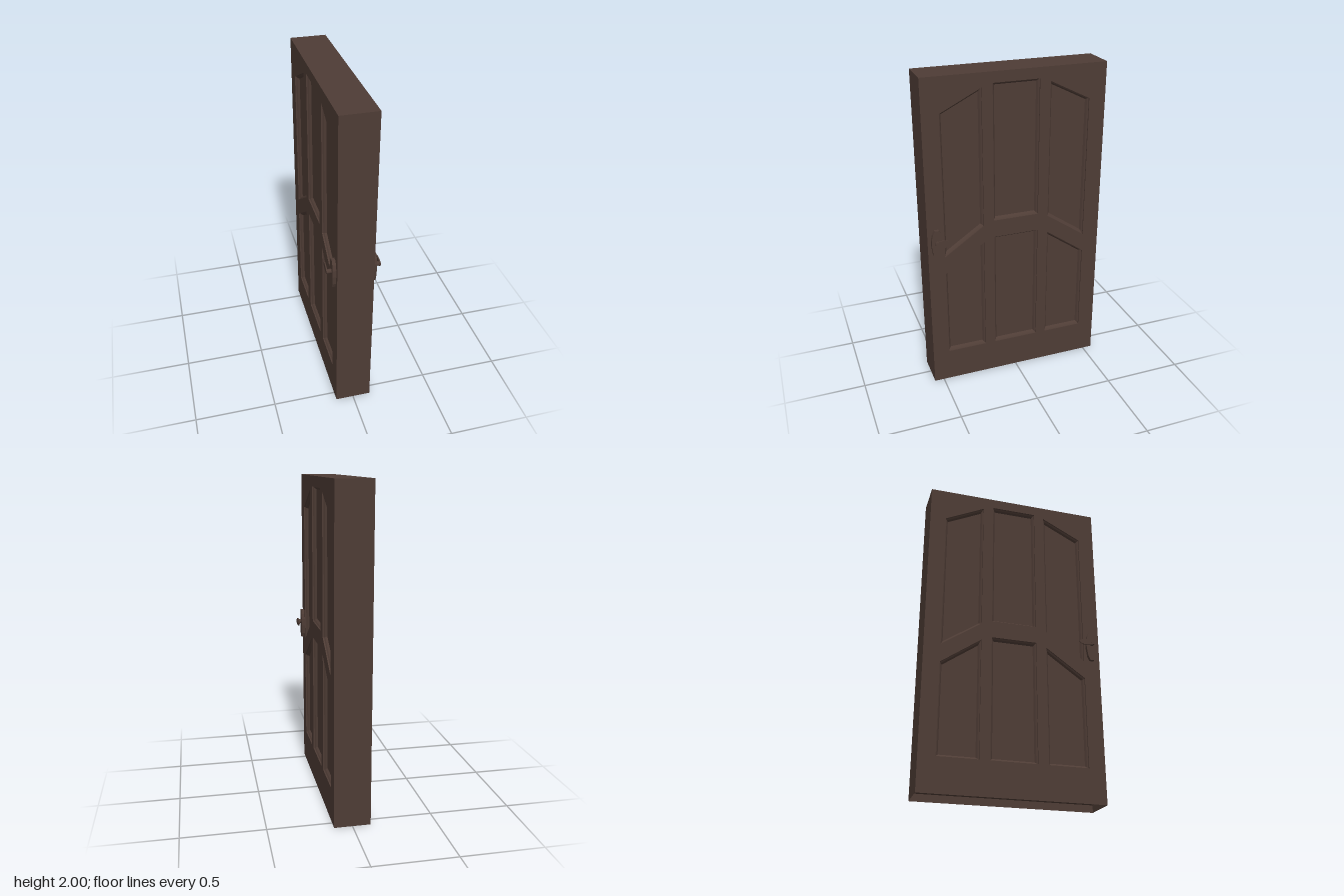
import * as THREE from 'three';

const W = 0.22, D = 1.12, H = 2;           // thickness, width, height
const RECESS = 0.045;                      // hollow under the bottom edge

const wood = new THREE.MeshStandardMaterial({ color: 0x4e3c35, side: THREE.DoubleSide });
wood.name = 'darkBrown';

// Panel outlines on one face, counter-clockwise (across, up)
const sideUpper = [[-0.457, 0.895], [-0.208, 1.065], [-0.208, 1.915], [-0.457, 1.79]];
const sideLower = [[-0.457, 0.21], [-0.208, 0.21], [-0.208, 0.955], [-0.457, 0.78]];
const mirrored = (pts) => pts.map(([u, v]) => [-u, v]).reverse();
const panels = [
  sideUpper, sideLower, mirrored(sideUpper), mirrored(sideLower),
  [[-0.143, 1.09], [0.143, 1.09], [0.143, 1.935], [-0.143, 1.935]],
  [[-0.143, 0.21], [0.143, 0.21], [0.143, 0.98], [-0.143, 0.98]],
];

const vectors = (pts) => pts.map(([u, v]) => new THREE.Vector2(u, v));

function add(parent, name, geometry, x = 0, y = 0, z = 0) {
  const mesh = new THREE.Mesh(geometry, wood);
  mesh.name = name;
  mesh.position.set(x, y, z);
  parent.add(mesh);
  return mesh;
}

// Moves every edge of a convex counter-clockwise outline inwards by d
function inset(pts, d) {
  const n = pts.length;
  return pts.map((p, i) => {
    const a = pts[(i + n - 1) % n], b = pts[(i + 1) % n];
    const e = new THREE.Vector2(p[0] - a[0], p[1] - a[1]).normalize();
    const f = new THREE.Vector2(b[0] - p[0], b[1] - p[1]).normalize();
    const k = d / (e.x * f.y - e.y * f.x);
    return [p[0] + (f.x - e.x) * -k * -1 * 1 * 1, p[1] + (f.y - e.y) * k];
  });
}

// Sloping strips joining successive rings, each { pts, z }
function moulding(rings) {
  const pos = [];
  for (let r = 0; r < rings.length - 1; r++) {
    const o = rings[r], q = rings[r + 1], n = o.pts.length;
    for (let i = 0; i < n; i++) {
      const j = (i + 1) % n;
      const a = [...o.pts[i], o.z], b = [...o.pts[j], o.z];
      const c = [...q.pts[j], q.z], d = [...q.pts[i], q.z];
      pos.push(...a, ...b, ...c, ...a, ...c, ...d);
    }
  }
  const g = new THREE.BufferGeometry();
  g.setAttribute('position', new THREE.Float32BufferAttribute(pos, 3));
  g.computeVertexNormals();
  return g;
}

// Back plate, spindle and flat lever; dir points from spindle to door centre
function handle(dir, long) {
  const g = new THREE.Group();
  g.name = 'handle';
  const plate = [[-0.013, -0.1], [0.013, -0.1], [0.026, -0.07], [0.034, -0.015], [0.034, 0.03],
    [0.026, 0.065], [0.013, 0.09], [-0.013, 0.09], [-0.026, 0.065], [-0.034, 0.03],
    [-0.034, -0.015], [-0.026, -0.07]];
  add(g, 'backPlate', new THREE.ExtrudeGeometry(new THREE.Shape(vectors(plate)), { depth: 0.021, bevelEnabled: false }));
  const stem = new THREE.CylinderGeometry(0.014, 0.014, 0.034, 8).rotateX(Math.PI / 2);
  add(g, 'spindle', stem, 0, 0.01, 0.034);
  // Oval lever, curving slightly on the longer one
  const reach = long ? 0.053 : 0.047, tall = long ? 0.02 : 0.025;
  const lever = new THREE.CylinderGeometry(1, 1, 0.007, 12).rotateX(Math.PI / 2).scale(reach, tall, 1);
  if (long) {
    const p = lever.attributes.position;
    for (let i = 0; i < p.count; i++) p.setZ(i, p.getZ(i) - 0.004 * (p.getX(i) * dir / reach));
    lever.computeVertexNormals();
  }
  add(g, 'lever', lever, dir * (long ? 0.037 : 0.028), 0.01, 0.045);
  return g;
}

// One broad face with its recessed panels and handle
function doorFace(side) {
  const g = new THREE.Group();
  g.name = side > 0 ? 'leftFace' : 'rightFace';
  const frame = new THREE.Shape(vectors([[-D / 2, 0], [D / 2, 0], [D / 2, H], [-D / 2, H]]));
  for (const pts of panels) {
    frame.holes.push(new THREE.Path(vectors(pts)));
    const mid = inset(pts, 0.008), inner = inset(pts, 0.016);
    add(g, 'panelMoulding', moulding([
      { pts, z: 0 }, { pts, z: -0.008 }, { pts: mid, z: -0.014 }, { pts: inner, z: -0.026 }]));
    add(g, 'panel', new THREE.ShapeGeometry(new THREE.Shape(vectors(inner))), 0, 0, -0.026);
  }
  add(g, 'frame', new THREE.ShapeGeometry(frame));
  const h = handle(side, side < 0);
  h.position.set(-side * 0.505, 1, 0);
  g.add(h);
  g.position.x = side * W / 2;
  g.rotation.y = side * Math.PI / 2;
  return g;
}

export function createModel() {
  const door = new THREE.Group();
  door.name = 'door';
  for (const side of [1, -1]) {
    door.add(doorFace(side));
    const edge = add(door, side > 0 ? 'frontEdge' : 'backEdge', new THREE.PlaneGeometry(W, H), 0, H / 2, side * D / 2);
    if (side < 0) edge.rotation.y = Math.PI;
  }
  add(door, 'topEdge', new THREE.PlaneGeometry(W, D).rotateX(-Math.PI / 2), 0, H, 0);
  add(door, 'bottomEdge', new THREE.PlaneGeometry(W, D).rotateX(Math.PI / 2), 0, RECESS, 0);
  return door;
}
